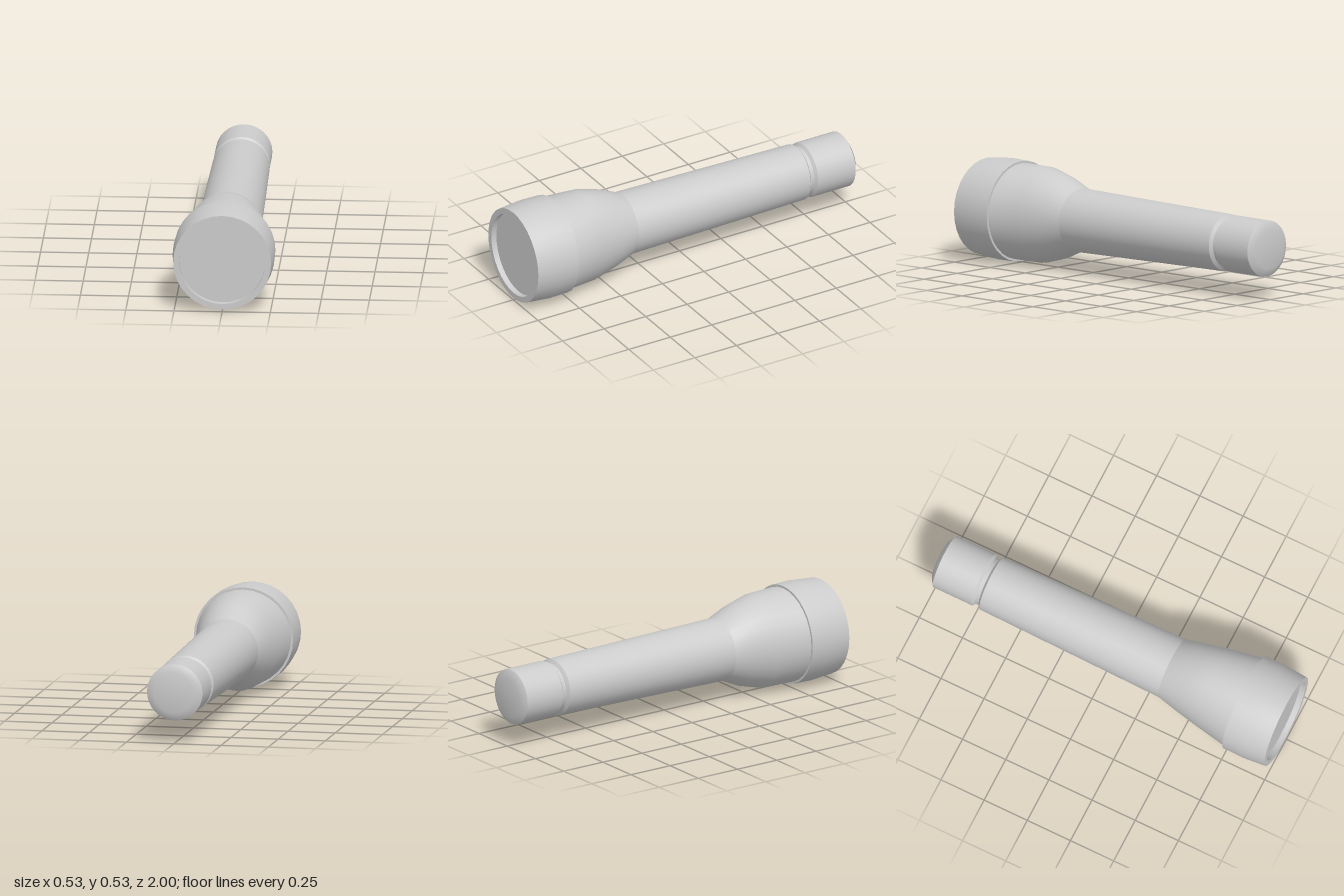
import * as THREE from 'three';
import { mergeVertices } from 'three/addons/utils/BufferGeometryUtils.js';

const SIDES = 32;
const AXIS_Y = 0.265;

export function createModel() {
  const group = new THREE.Group();
  const material = new THREE.MeshStandardMaterial({ color: 0xcccccc });

  // Turned surface around the z axis; profile is [radius, z] from back to front
  const turned = (profile) => new THREE.LatheGeometry(
    profile.map(([r, z]) => new THREE.Vector2(r, z)), SIDES).rotateX(Math.PI / 2);

  const add = (name, geometry) => {
    const mesh = new THREE.Mesh(geometry, material);
    mesh.name = name;
    group.add(mesh);
  };

  // Tail cap with softly domed end
  add('tailDome', turned([[0, -1], [0.105, -1], [0.147, -0.975]]));
  add('tailCap', turned([[0.147, -0.975], [0.147, -0.75]]));

  // Groove between cap and handle, sharp at each edge
  const groove = [[0.147, -0.75], [0.131, -0.737], [0.131, -0.717], [0.149, -0.704]];
  for (let i = 0; i < 3; i++) add('groove', turned(groove.slice(i, i + 2)));

  // Tapered handle
  add('handle', turned([[0.149, -0.704], [0.166, 0.34]]));

  // Flared neck: taller than wide in the middle
  const neckRings = [[0.166, 0.34, 1], [0.215, 0.45, 0.88], [0.251, 0.58, 0.855], [0.251, 0.76, 1]];
  const neck = turned(neckRings);
  const p = neck.attributes.position;
  for (let i = 0; i < p.count; i++) {
    p.setX(i, p.getX(i) * neckRings[i % neckRings.length][2]);
  }
  neck.deleteAttribute('normal');
  neck.deleteAttribute('uv');
  const smoothNeck = mergeVertices(neck);
  smoothNeck.computeVertexNormals();
  add('neck', smoothNeck);

  // Lamp head: rear step, slightly barrelled wall, front rim and recess
  add('headStep', turned([[0.245, 0.76], [0.263, 0.76]]));
  add('headWall', turned([[0.263, 0.76], [0.265, 0.87], [0.254, 1]]));
  add('rim', turned([[0.254, 1], [0.223, 1]]));
  add('rimInside', turned([[0.223, 1], [0.223, 0.97]]));
  add('lens', turned([[0.223, 0.97], [0, 0.97]]));

  group.children.forEach((m) => { m.position.y = AXIS_Y; });
  return group;
}
